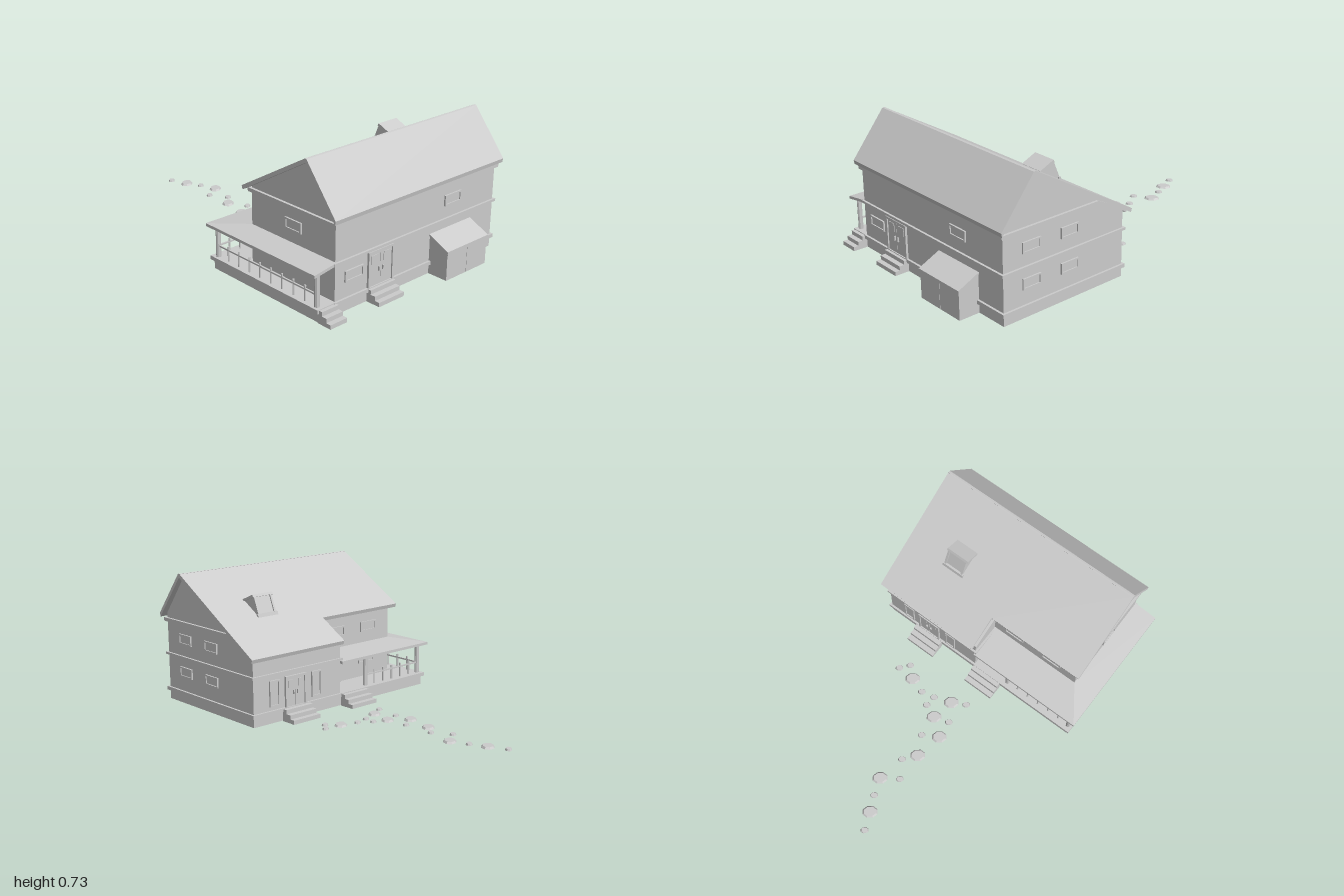
import * as THREE from 'three';

const mat = new THREE.MeshStandardMaterial({ color: 0xcccccc, flatShading: true, side: THREE.DoubleSide });

export function createModel() {
  const root = new THREE.Group();
  const add = (name, geo, parent = root) => {
    const m = new THREE.Mesh(geo, mat);
    m.name = name;
    parent.add(m);
    return m;
  };
  // box given by its limits
  const box = (name, x0, x1, y0, y1, z0, z1, parent = root) =>
    add(name, new THREE.BoxGeometry(x1 - x0, y1 - y0, z1 - z0)
      .translate((x0 + x1) / 2, (y0 + y1) / 2, (z0 + z1) / 2), parent);
  const shapeOf = pts => new THREE.Shape(pts.map(p => new THREE.Vector2(...p)));
  // flat sheet with a (z, y) outline standing at x
  const sheet = (name, x, pts) =>
    add(name, new THREE.ShapeGeometry(shapeOf(pts)).rotateY(-Math.PI / 2).translate(x, 0, 0));
  // solid with a (z, y) outline running from x0 to x1
  const prism = (name, x0, x1, pts, parent = root) =>
    add(name, new THREE.ExtrudeGeometry(shapeOf(pts), { depth: x1 - x0, bevelEnabled: false })
      .rotateY(-Math.PI / 2).translate(x1, 0, 0), parent);
  // upright rectangle along x
  const wall = (name, x0, x1, y0, y1, z) =>
    add(name, new THREE.PlaneGeometry(x1 - x0, y1 - y0).translate((x0 + x1) / 2, (y0 + y1) / 2, z));

  const L = -0.515, R = 0.615, F = 0.877, B = 0.123, MX = 0.02, MB = 0.3;
  const roofY = z => 0.73 - (0.706 - z) * 0.584; // rear slope

  // Walls, open underneath
  wall('frontWall', L, R, 0, 0.49, F);
  wall('rearWall', MX, R, 0, 0.37, B);
  wall('recessedRearWall', L, MX, 0, roofY(MB) - 0.015, MB);
  sheet('gableWallPlain', R, [[B, 0], [F, 0], [F, 0.49], [0.706, 0.71], [B, 0.37]]);
  sheet('gableWallPorch', L, [[MB, 0], [F, 0], [F, 0.49], [0.706, 0.71], [MB, roofY(MB) - 0.015]]);
  sheet('returnWall', MX, [[B, 0], [MB, 0], [MB, 0.475], [B, 0.37]]);

  // Main roof: front slope plus two rear slopes of different length
  prism('frontRoof', -0.545, 0.645, [[0.715, 0.728], [0.906, 0.488], [0.902, 0.467], [0.706, 0.71], [0.7, 0.728]]);
  for (const [x0, x1, z] of [[-0.545, MX, 0.26], [MX, 0.645, 0.088]])
    prism('rearRoof', x0, x1, [[0.715, 0.728], [0.706, 0.73], [z, roofY(z)], [z + 0.006, roofY(z) - 0.02], [0.706, 0.708]]);

  // Trim bands round the walls
  const band = (name, y0, y1, d, backY = y0) => {
    box(name, L - d, R + d, y0, y1, F, F + d);
    box(name, L - d, L, y0, y1, MB - d, F);
    box(name, L - d, MX, y0, y1, MB - d, MB);
    const h = y1 - y0;
    box(name, MX - d, R + d, backY, backY + h, B - d, B);
    box(name, R, R + d, y0, y1, MB, F);
    for (const [x0, x1] of [[R, R + d], [MX - d, MX]])
      prism(name, x0, x1, [[B - d, backY], [MB, y0], [MB, y1], [B - d, backY + h]]);
  };
  band('eaveTrim', 0.443, 0.463, 0.014, 0.352);
  band('storeyTrim', 0.255, 0.268, 0.012);
  band('baseTrim', 0.05, 0.07, 0.012);

  // Dormer on the rear slope
  const dormer = new THREE.Group();
  dormer.name = 'dormer';
  root.add(dormer);
  prism('dormerBody', 0.28, 0.4, [[0.47, 0.585], [0.387, 0.618], [0.345, 0.515]], dormer);
  prism('dormerRoof', 0.272, 0.406, [[0.47, 0.593], [0.385, 0.63], [0.378, 0.617], [0.47, 0.58]], dormer);
  prism('dormerSill', 0.272, 0.406, [[0.352, 0.53], [0.339, 0.53], [0.334, 0.513], [0.35, 0.513]], dormer);
  for (const x of [0.28, 0.388])
    prism('dormerFrame', x, x + 0.012, [[0.387, 0.618], [0.379, 0.618], [0.339, 0.52], [0.347, 0.52]], dormer);

  // Windows and doors, placed on a wall by a turn about y
  const mounted = (name, x, y, z, turn) => {
    const g = new THREE.Group();
    g.name = name;
    g.position.set(x, y, z);
    g.rotation.y = turn;
    root.add(g);
    return g;
  };
  const windowAt = (x, y, z, turn, w = 0.12, h = 0.056) => {
    const g = mounted('window', x, y, z, turn), a = w / 2, b = h / 2, t = 0.008;
    box('pane', -a, a, -b, b, -0.003, 0.003, g);
    for (const s of [-1, 1]) {
      box('frameSide', s * (a - t / 2) - t / 2, s * (a - t / 2) + t / 2, -b, b, 0, 0.009, g);
      box('frameRail', -a + t, a - t, s * (b - t / 2) - t / 2, s * (b - t / 2) + t / 2, 0, 0.009, g);
    }
  };
  const doorAt = (x, z, turn, w, h) => {
    const g = mounted('doubleDoor', x, 0.07, z, turn), a = w / 2;
    box('lintel', -a, a, h - 0.012, h, 0, 0.012, g);
    for (const s of [-1, 1]) {
      const span = (name, p, q, y0, y1, d) =>
        box(name, Math.min(s * p, s * q), Math.max(s * p, s * q), y0, y1, 0, d, g);
      span('jamb', a - 0.01, a, 0, h - 0.012, 0.012);
      span('leaf', 0.001, a - 0.01, 0, h - 0.012, 0.005);
      span('upperPanel', 0.02, a - 0.022, h * 0.62, h * 0.87, 0.008);
      span('handle', 0.01, 0.017, h * 0.38, h * 0.51, 0.014);
    }
  };
  const P = Math.PI;
  windowAt(-0.395, 0.178, F, 0);
  windowAt(0.29, 0.362, F, 0);
  for (const y of [0.178, 0.362]) {
    for (const z of [0.71, 0.475]) windowAt(R, y, z, P / 2, 0.11);
    windowAt(L, y, 0.6, -P / 2, 0.11);
  }
  for (const x of [-0.11, -0.355]) windowAt(x, 0.362, MB, P);
  windowAt(-0.34, 0.178, MB, P);
  for (const x of [0.195, 0.48]) windowAt(x, 0.16, B, P, 0.065, 0.14);
  doorAt(-0.22, F, 0, 0.17, 0.182);
  doorAt(0.34, B, P, 0.14, 0.165);
  doorAt(-0.07, MB, P, 0.13, 0.165);

  // Steps: three treads stacked outwards from z in direction s
  const steps = (x0, x1, z, s, run) => {
    for (let i = 0; i < 3; i++) {
      const e = z + s * run * (i + 1) / 3;
      box('step', x0, x1, 0, 0.066 - i * 0.022, Math.min(z, e), Math.max(z, e));
    }
  };
  steps(-0.305, -0.135, F, 1, 0.083);
  steps(-0.62, L, F, 1, 0.083);
  steps(-0.16, MX, 0.115, -1, 0.09);
  steps(0.25, 0.43, 0.115, -1, 0.09);

  // Sloped front hatch
  const hatch = new THREE.Group();
  hatch.name = 'frontHatch';
  root.add(hatch);
  const hx0 = 0.135, hx1 = 0.435;
  for (const x of [hx0, hx1])
    sheet('hatchSide', x, [[F, 0], [0.99, 0], [0.99, 0.155], [F, 0.205]]);
  for (const [a, b] of [[hx0, 0.284], [0.286, hx1]]) box('hatchLeaf', a, b, 0, 0.138, 0.985, 0.993, hatch);
  box('hatchLintel', hx0, hx1, 0.136, 0.158, 0.985, 0.995, hatch);
  prism('hatchRoof', 0.13, 0.44, [[F, 0.213], [F, 0.203], [0.998, 0.147], [0.998, 0.157]], hatch);

  // Porch floor, skirt and roof following the L plan
  const porch = new THREE.Group();
  porch.name = 'porch';
  root.add(porch);
  box('porchFloorSide', -0.63, L, 0.05, 0.07, 0.11, 0.885, porch);
  box('porchFloorRear', L, MX, 0.05, 0.07, 0.11, MB, porch);
  box('porchSkirtSide', -0.615, -0.605, 0, 0.05, B, F, porch);
  box('porchSkirtRear', -0.615, MX, 0, 0.05, B, B + 0.01, porch);
  box('porchSkirtFront', -0.615, L, 0, 0.05, F - 0.01, F, porch);

  const path = [[-0.65, 0.885, L, 0.885], [-0.65, 0.105, L, MB], [MX, 0.105, MX, MB]];
  const verts = [], idx = [];
  for (const [ox, oz, ix, iz] of path)
    verts.push(ox, 0.235, oz, ox, 0.25, oz, ix, 0.27, iz, ix, 0.255, iz);
  for (let i = 0; i < 2; i++)
    for (let j = 0; j < 4; j++) {
      const a = i * 4 + j, b = i * 4 + (j + 1) % 4;
      idx.push(a, b, b + 4, a, b + 4, a + 4);
    }
  idx.push(0, 2, 1, 0, 3, 2, 8, 9, 10, 8, 10, 11);
  const roofGeo = new THREE.BufferGeometry();
  roofGeo.setAttribute('position', new THREE.Float32BufferAttribute(verts, 3));
  roofGeo.setIndex(idx);
  roofGeo.computeVertexNormals();
  add('porchRoof', roofGeo, porch);

  // Porch pillars and railing
  const post = (name, x, z, r, y1) =>
    add(name, new THREE.CylinderGeometry(r, r, y1 - 0.07, 8).translate(x, (y1 + 0.07) / 2, z), porch);
  for (const [x, z] of [[-0.605, 0.855], [-0.605, 0.145], [-0.19, 0.145]]) post('pillar', x, z, 0.013, 0.242);
  box('sideRail', -0.609, -0.601, 0.126, 0.134, 0.145, 0.855, porch);
  box('rearRail', -0.605, -0.19, 0.126, 0.134, 0.141, 0.149, porch);
  for (let i = 1; i < 9; i++) post('baluster', -0.605, 0.145 + i * 0.71 / 9, 0.005, 0.15);
  for (let i = 1; i < 6; i++) post('baluster', -0.605 + i * 0.415 / 6, 0.145, 0.005, 0.15);

  // Stepping stones: skewed low octagons
  const stoneGeo = new THREE.CylinderGeometry(0.8, 1, 0.01, 8).rotateY(P / 8).translate(0, 0.005, 0);
  const sp = stoneGeo.attributes.position;
  for (let i = 0; i < sp.count; i++) sp.setX(i, sp.getX(i) - 0.25 * sp.getZ(i));
  const stones = (size, list) => list.forEach(([x, z]) => {
    const m = add('steppingStone', stoneGeo, root);
    m.position.set(x, 0, z);
    m.scale.set(size, 1, size);
  });
  stones(0.039, [[-0.03, -0.885], [0.045, -0.705], [-0.04, -0.48], [-0.07, -0.325], [0.025, -0.25], [0, -0.125], [0.26, -0.145]]);
  stones(0.02, [[-0.07, -0.981], [0.01, -0.8], [-0.045, -0.645], [0.015, -0.55], [0.015, -0.375], [-0.06, -0.225],
    [0.1, -0.22], [0.095, -0.16], [0.17, -0.175], [0.36, -0.14], [0.32, -0.09], [-0.075, -0.085]]);

  return root;
}
